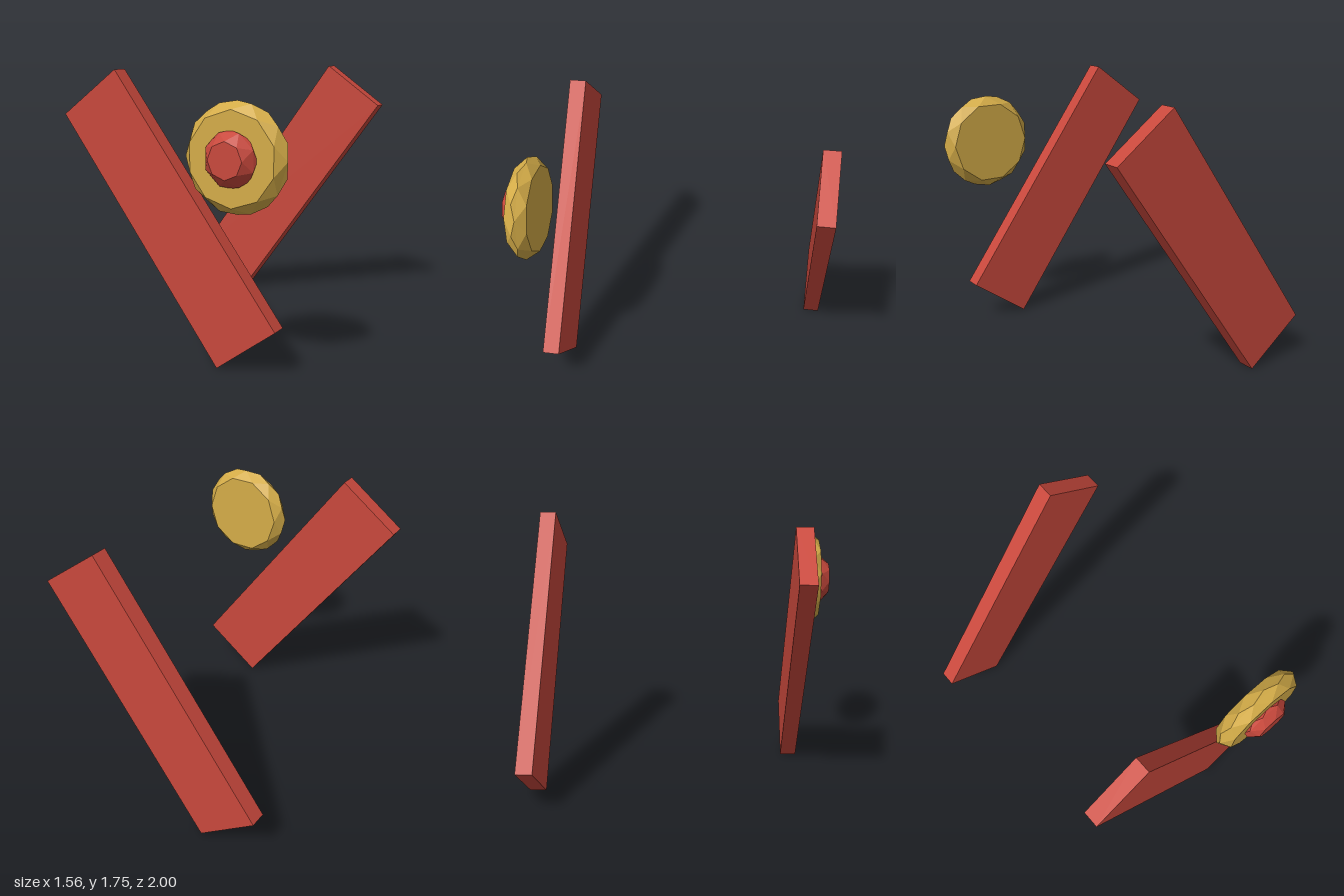
import * as THREE from 'three';

const red = new THREE.MeshStandardMaterial({ name: 'red', color: 0xc8483c, flatShading: true });
const gold = new THREE.MeshStandardMaterial({ name: 'gold', color: 0xd4ac48, flatShading: true });

// Faceted disc: rings [radius, z] from back to front, each turned half a step from the last
function facetedDisc(sides, rings, startTurn) {
  const step = (Math.PI * 2) / sides;
  const positions = [];
  const point = (k, i) => {
    const a = (startTurn + k * 0.5 + i) * step;
    return [rings[k][0] * Math.cos(a), rings[k][0] * Math.sin(a), rings[k][1]];
  };
  const triangle = (a, b, c) => positions.push(...a, ...b, ...c);
  const last = rings.length - 1;
  for (let i = 0; i < sides; i++) {
    for (let k = 0; k < last; k++) {
      triangle(point(k, i), point(k, i + 1), point(k + 1, i));
      triangle(point(k + 1, i), point(k, i + 1), point(k + 1, i + 1));
    }
    triangle([0, 0, rings[0][1]], point(0, i + 1), point(0, i));
    triangle([0, 0, rings[last][1]], point(last, i), point(last, i + 1));
  }
  const geometry = new THREE.BufferGeometry();
  geometry.setAttribute('position', new THREE.Float32BufferAttribute(positions, 3));
  geometry.computeVertexNormals();
  return geometry;
}

export function createModel() {
  const model = new THREE.Group();
  const add = (name, geometry, material, x, y, z) => {
    const mesh = new THREE.Mesh(geometry, material);
    mesh.name = name;
    mesh.position.set(x, y, z);
    model.add(mesh);
    return mesh;
  };

  // Two slanted boards that cross when seen from the front
  const board = new THREE.BoxGeometry(0.472, 1.825, 0.108);
  const tilt = 0.63;
  add('frontBoard', board, red, -0.052, 0.882, 0.746).rotation.z = tilt;
  add('backBoard', board, red, -0.052, 0.882, -0.946).rotation.z = -tilt;

  // Round boss with a small faceted stud set into its front
  const disc = facetedDisc(10, [[0.275, -0.068], [0.321, -0.013], [0.321, 0.013], [0.275, 0.068]], 0);
  add('bossDisc', disc, gold, 0.46, 1.28, 0.858);
  const stud = facetedDisc(8, [[0.107, -0.068], [0.161, -0.013], [0.161, 0.013], [0.107, 0.068]], 0.5);
  add('bossStud', stud, red, 0.46, 1.28, 0.932);

  return model;
}
